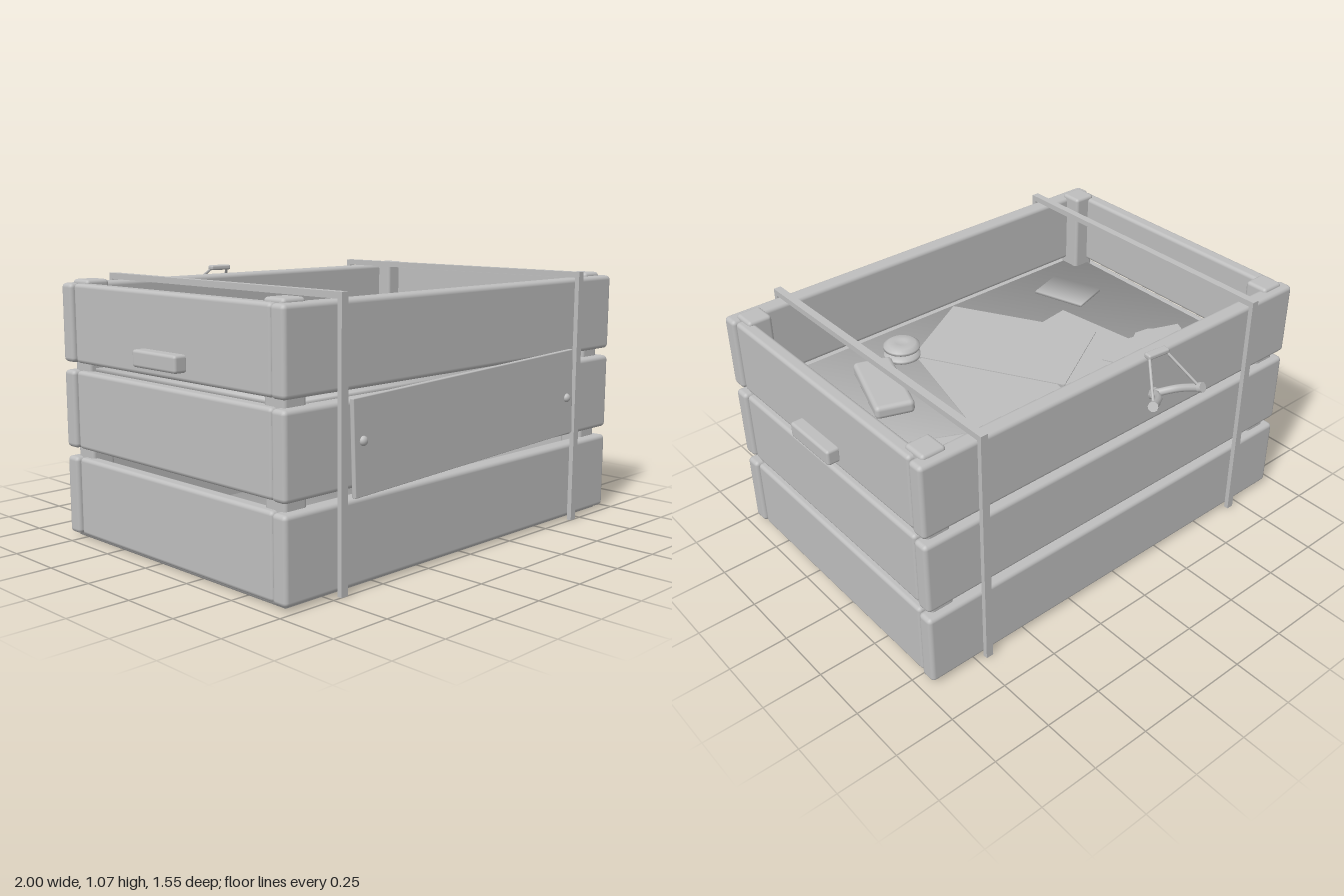
import * as THREE from 'three';
import { RoundedBoxGeometry } from 'three/addons/geometries/RoundedBoxGeometry.js';

export function createModel() {
  const root = new THREE.Group();
  const grey = new THREE.MeshStandardMaterial({ color: 0xbebebe });
  grey.name = 'plainGrey';

  const add = (name, geo, x = 0, y = 0, z = 0) => {
    const m = new THREE.Mesh(geo, grey);
    m.name = name;
    m.position.set(x, y, z);
    root.add(m);
    return m;
  };
  // rounded box given by its extents
  const block = (name, x0, x1, y0, y1, z0, z1, r) =>
    add(name, new RoundedBoxGeometry(x1 - x0, y1 - y0, z1 - z0, 2, r),
      (x0 + x1) / 2, (y0 + y1) / 2, (z0 + z1) / 2);
  // slab whose normals are smoothed across its corners
  const softSlab = (w, h, d) => {
    const g = new THREE.BoxGeometry(w, h, d);
    const p = g.attributes.position, n = g.attributes.normal, v = new THREE.Vector3();
    for (let i = 0; i < p.count; i++) {
      v.set(Math.sign(p.getX(i)), Math.sign(p.getY(i)), Math.sign(p.getZ(i))).normalize();
      n.setXYZ(i, v.x, v.y, v.z);
    }
    return g;
  };

  // three rows of boards on each side
  for (const [y0, y1] of [[0.015, 0.335], [0.372, 0.688], [0.72, 1.035]]) {
    block('frontBoard', -0.958, 0.958, y0, y1, 0.66, 0.732, 0.018);
    block('backBoard', -0.958, 0.958, y0, y1, -0.578, -0.508, 0.018);
    for (const s of [-1, 1]) {
      const b = block('sideBoard', -0.03, 0.03, y0, y1, -0.503, 0.658, 0.016);
      b.position.x = s * 0.919;
    }
  }

  // corner posts
  for (const s of [-1, 1])
    for (const z of [-0.495, 0.642])
      add('cornerPost', new RoundedBoxGeometry(0.104, 1.05, 0.104, 2, 0.015), s * 0.871, 0.525, z);

  // base and raised inner floor
  add('base', softSlab(1.86, 0.03, 1.25), 0, 0.019, 0.077);
  add('innerFloor', softSlab(1.79, 0.02, 1.2), 0, 0.69, 0.077);

  // side handles and straps
  for (const s of [-1, 1]) {
    add('sideHandle', new RoundedBoxGeometry(0.06, 0.066, 0.258, 2, 0.012), s * 0.97, 0.789, 0.08);
    const x = s * 0.698;
    add('strapFront', new THREE.BoxGeometry(0.032, 1.06, 0.02), x, 0.53, 0.742);
    add('strapBack', new THREE.BoxGeometry(0.032, 1.06, 0.02), x, 0.53, -0.588);
    add('strapTop', new THREE.BoxGeometry(0.032, 0.024, 1.35), x, 1.05, 0.077);
  }

  // crooked front plate with two bolts
  add('frontPlate', new RoundedBoxGeometry(1.31, 0.355, 0.02, 1, 0.004), 0, 0.543, 0.746).rotation.z = 0.037;
  for (const s of [-1, 1]) {
    const bolt = add('bolt', new THREE.SphereGeometry(0.018, 16, 10), s * 0.612, 0.543, 0.757);
    bolt.scale.z = 0.8;
  }

  // loose sheets, stacked: x, z, width, depth, turn, height
  const sheets = [
    [-0.302, -0.059, 0.465, 0.68, 0.14, 0.704],
    [0.134, 0.019, 0.436, 0.675, -0.235, 0.708],
    [-0.094, 0.246, 0.45, 0.68, 0.523, 0.712],
  ];
  for (const [x, z, w, d, turn, y] of sheets)
    add('paperSheet', new THREE.BoxGeometry(w, 0.004, d), x, y, z).rotation.y = turn;
  add('photoCard', softSlab(0.178, 0.012, 0.245), -0.615, 0.71, 0.422).rotation.y = 0.3;

  // torn sheet
  const torn = new THREE.Shape([
    [-0.778, -0.128], [-0.687, -0.326], [-0.634, -0.331], [-0.6, -0.305], [-0.535, -0.32],
    [-0.495, -0.31], [-0.41, -0.326], [-0.318, -0.123], [-0.45, -0.053], [-0.548, -0.08],
    [-0.58, -0.059], [-0.645, -0.07], [-0.665, -0.086],
  ].map(([x, z]) => new THREE.Vector2(x, -z)));
  const tornSheet = add('tornSheet', new THREE.ExtrudeGeometry(torn, { depth: 0.004, bevelEnabled: false }), 0, 0.714, 0);
  tornSheet.rotation.x = -Math.PI / 2;

  // two small boxes
  add('smallBox', new RoundedBoxGeometry(0.36, 0.06, 0.166, 2, 0.02), 0.607, 0.732, -0.235).rotation.y = -0.444;
  add('smallBox', new RoundedBoxGeometry(0.37, 0.06, 0.166, 2, 0.02), 0.521, 0.732, 0.289).rotation.y = 1.23;

  // spool: two rounded discs with a groove between
  const spool = [[0, 0], [0.06, 0], [0.078, 0.01], [0.078, 0.022], [0.06, 0.032], [0.03, 0.036],
    [0.06, 0.04], [0.078, 0.05], [0.078, 0.062], [0.06, 0.074], [0.028, 0.076], [0.024, 0.07], [0, 0.07]];
  add('spool', new THREE.LatheGeometry(spool.map(([x, y]) => new THREE.Vector2(x, y)), 28), 0.302, 0.702, 0.465);

  // slingshot poking out through the back
  const V = (x, y, z) => new THREE.Vector3(x, y, z);
  const rod = (name, a, b, r, sides = 10) => {
    const m = add(name, new THREE.CylinderGeometry(r, r, a.distanceTo(b), sides));
    m.position.copy(a).lerp(b, 0.5);
    m.quaternion.setFromUnitVectors(V(0, 1, 0), b.clone().sub(a).normalize());
    return m;
  };
  const butt = V(-0.178, 0.715, -0.32), fork = V(-0.145, 0.86, -0.59);
  rod('slingshotHandle', butt, fork, 0.024);
  for (let i = 0; i < 6; i++) {
    const t = 0.02 + i * 0.1;
    rod('gripRing', butt.clone().lerp(fork, t), butt.clone().lerp(fork, t + 0.06), 0.031);
  }
  const pouch = V(-0.125, 1.058, -0.605);
  const prongs = [
    [V(-0.2, 0.895, -0.66), V(-0.217, 0.945, -0.765), -0.04],
    [V(-0.09, 0.895, -0.66), V(0.013, 0.94, -0.73), 0.04],
  ];
  for (const [mid, tip, dx] of prongs) {
    add('slingshotProng', new THREE.TubeGeometry(new THREE.CatmullRomCurve3([fork, mid, tip]), 12, 0.016, 8));
    rod('prongTip', tip.clone().lerp(mid, 0.15), tip, 0.02);
    rod('rubberBand', tip.clone().lerp(mid, 0.1), V(pouch.x + dx, pouch.y, pouch.z), 0.006, 6);
  }
  add('pouch', new RoundedBoxGeometry(0.1, 0.022, 0.035, 2, 0.008), pouch.x, pouch.y, pouch.z).rotation.y = -0.1;

  return root;
}
